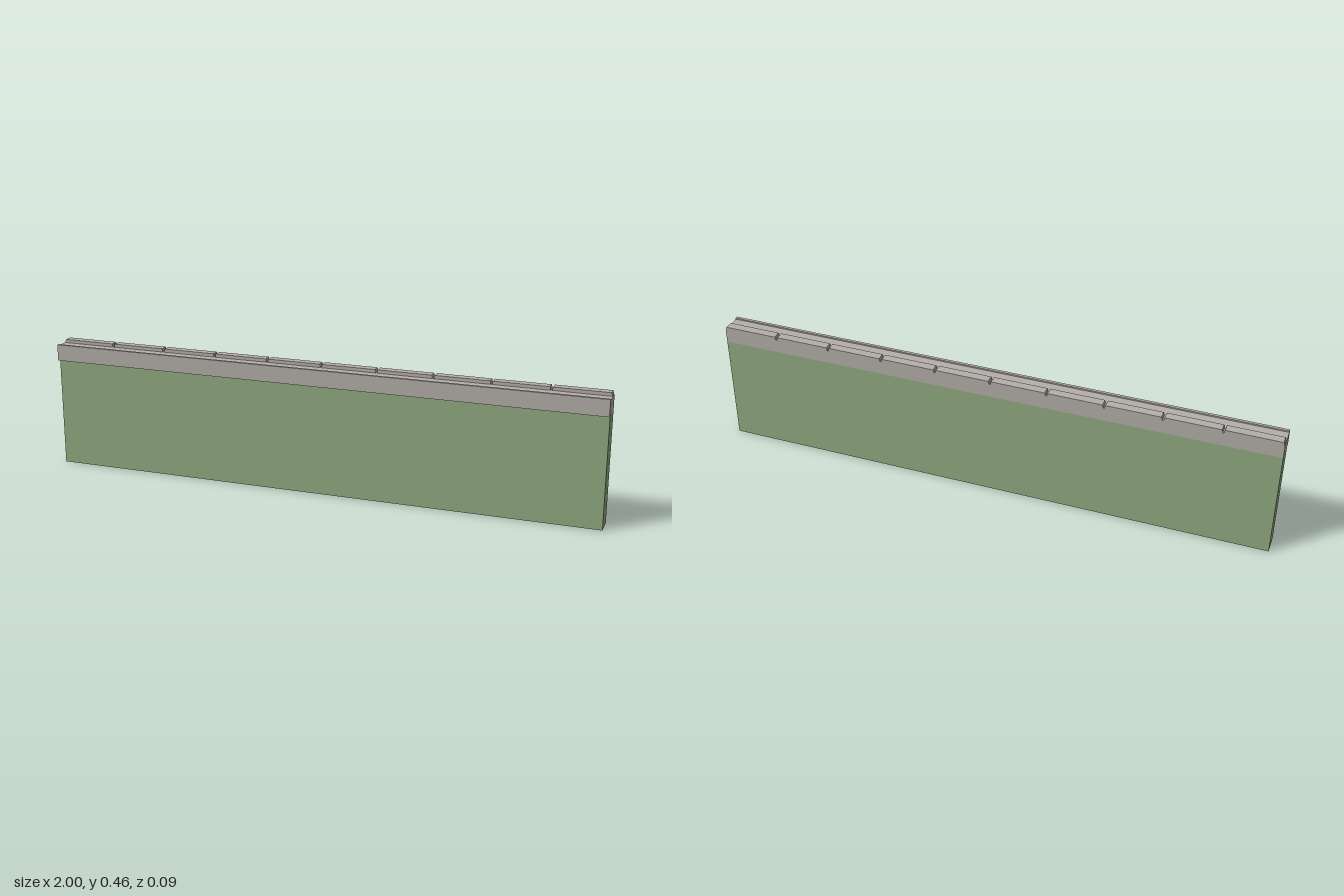
import * as THREE from 'three';

const LENGTH = 2;

// Extrudes a [z, y] outline along the whole length of the wall
function extrudeAlongX(points) {
  const shape = new THREE.Shape(points.map(([z, y]) => new THREE.Vector2(-z, y)));
  const geometry = new THREE.ExtrudeGeometry(shape, { depth: LENGTH, bevelEnabled: false });
  geometry.translate(0, 0, -LENGTH / 2);
  geometry.rotateY(Math.PI / 2);
  return geometry;
}

export function createModel() {
  const green = new THREE.MeshStandardMaterial({ color: 0x93ac82 });
  green.name = 'wall green';
  const stone = new THREE.MeshStandardMaterial({ color: 0xb5afaa });
  stone.name = 'stone grey';

  const model = new THREE.Group();
  model.name = 'lowWall';
  const add = (name, geometry, material) => {
    const mesh = new THREE.Mesh(geometry, material);
    mesh.name = name;
    model.add(mesh);
    return mesh;
  };

  // Wall body
  add('wallBody', new THREE.BoxGeometry(LENGTH, 0.4, 0.071), green).position.set(0, 0.2, -0.0065);

  // Coping with a raised, overhanging front lip
  add('coping', extrudeAlongX([
    [-0.042, 0.4], [0.029, 0.4], [0.029, 0.402], [0.032, 0.402], [0.032, 0.396],
    [0.043, 0.396], [0.043, 0.455], [0.033, 0.455], [0.033, 0.45], [-0.042, 0.45],
  ]), stone);

  // Row of cap stones along the back, with sloped ends leaving narrow joints
  const count = 10;
  const pitch = LENGTH / count;
  const bottom = pitch / 2 - 0.002;
  const top = pitch / 2 - 0.005;
  const outline = new THREE.Shape([
    new THREE.Vector2(-bottom, 0), new THREE.Vector2(bottom, 0),
    new THREE.Vector2(top, 0.012), new THREE.Vector2(-top, 0.012),
  ]);
  const capStone = new THREE.ExtrudeGeometry(outline, { depth: 0.03, bevelEnabled: false });
  for (let i = 0; i < count; i++) {
    add('capStone' + (i + 1), capStone, stone).position.set(-1 + (i + 0.5) * pitch, 0.45, -0.042);
  }

  return model;
}
